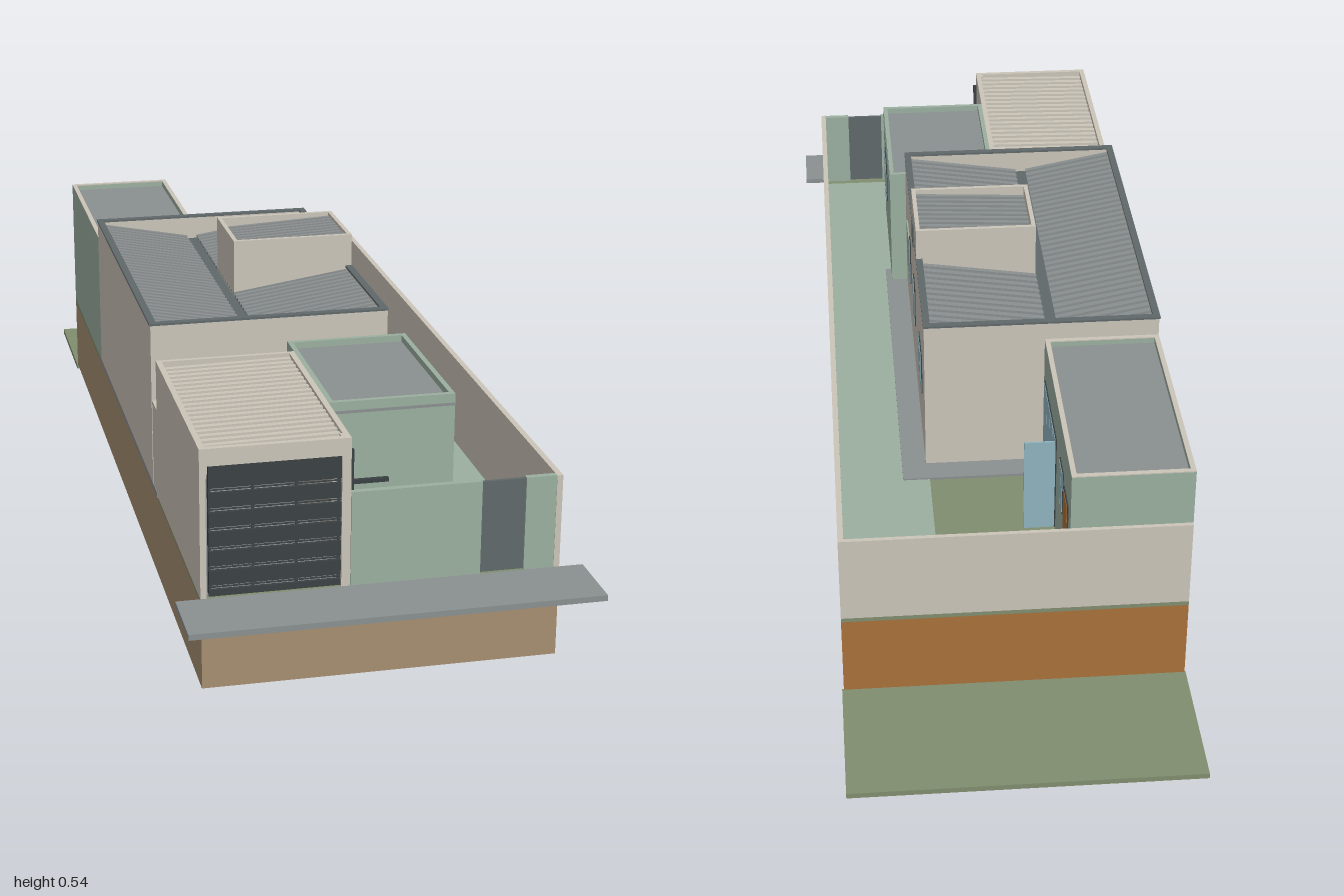
import * as THREE from 'three';

const mat = (name, color) => {
  const m = new THREE.MeshStandardMaterial({ color });
  m.name = name;
  return m;
};

export function createModel() {
  const M = {
    beige: mat('beige plaster', 0xcac4b8), brown: mat('brown earth', 0xa68e71),
    clay: mat('orange clay', 0xa8713a), lawn: mat('lawn green', 0x808d6f),
    green: mat('pale green', 0x9aaf9f), gray: mat('gray concrete', 0x8a8f90),
    slate: mat('slate metal', 0x5f686a), dark: mat('dark metal', 0x3a4042),
    glass: mat('window glass', 0x8fb3be),
  };
  const root = new THREE.Group();
  root.name = 'walledHouse';
  const group = (name) => {
    const g = new THREE.Group();
    g.name = name;
    root.add(g);
    return g;
  };
  // Box given by its limits on each axis
  const box = (g, name, m, x0, x1, y0, y1, z0, z1) => {
    const mesh = new THREE.Mesh(new THREE.BoxGeometry(x1 - x0, y1 - y0, z1 - z0), m);
    mesh.position.set((x0 + x1) / 2, (y0 + y1) / 2, (z0 + z1) / 2);
    mesh.name = name;
    g.add(mesh);
    return mesh;
  };
  // Four walls around a rectangle
  const ring = (g, name, m, x0, x1, y0, y1, z0, z1, t) => {
    box(g, name, m, x0, x0 + t, y0, y1, z0, z1);
    box(g, name, m, x1 - t, x1, y0, y1, z0, z1);
    box(g, name, m, x0 + t, x1 - t, y0, y1, z0, z0 + t);
    box(g, name, m, x0 + t, x1 - t, y0, y1, z1 - t, z1);
  };
  // Ribbed sheet sloping along x from ya to yb
  const ribbedRoof = (g, name, m, x0, x1, ya, yb, z0, z1, n) => {
    const sheet = new THREE.Group();
    sheet.name = name;
    const len = Math.hypot(x1 - x0, yb - ya), h = len / 2;
    sheet.position.set((x0 + x1) / 2, (ya + yb) / 2, 0);
    sheet.rotation.z = Math.atan2(yb - ya, x1 - x0);
    box(sheet, 'roofSheet', m, -h, h, -0.003, 0, z0, z1);
    const pitch = (z1 - z0) / n;
    for (let i = 0; i < n; i++) {
      const z = z0 + (i + 0.5) * pitch;
      box(sheet, 'roofRib', m, -h, h, 0, 0.005, z - pitch * 0.25, z + pitch * 0.25);
    }
    g.add(sheet);
  };
  // Framed window on a wall facing +x
  const sideWindow = (g, x, y0, y1, z0, z1, panes) => {
    box(g, 'windowFrame', M.dark, x, x + 0.002, y0, y1, z0, z1);
    const w = (z1 - z0) / panes, e = 0.003;
    for (let i = 0; i < panes; i++)
      box(g, 'windowPane', M.glass, x + 0.001, x + 0.003, y0 + e, y1 - e, z0 + i * w + e / 2, z0 + (i + 1) * w - e / 2);
  };

  // Site
  const site = group('site');
  box(site, 'rearLawn', M.lawn, -0.305, 0.305, 0, 0.01, -1, -0.738);
  const earth = box(site, 'earthBase', M.brown, -0.303, 0.302, 0.01, 0.162, -0.74, 0.878);
  earth.material = [M.brown, M.brown, M.brown, M.brown, M.brown, M.clay];
  box(site, 'gardenLawn', M.lawn, -0.303, 0.302, 0.162, 0.17, -0.74, 0.876);
  box(site, 'sidewalk', M.gray, -0.345, 0.343, 0.161, 0.171, 0.878, 1);
  box(site, 'sidePath', M.green, 0.125, 0.292, 0.17, 0.172, -0.72, 0.85);
  box(site, 'houseSlab', M.gray, -0.304, 0.175, 0.165, 0.175, -0.345, 0.44);
  box(site, 'garageFloor', M.gray, -0.303, -0.06, 0.168, 0.174, 0.44, 0.87);

  // Lot walls and street front
  const walls = group('lotWalls');
  box(walls, 'rightWall', M.beige, 0.292, 0.302, 0.17, 0.335, -0.74, 0.878);
  box(walls, 'backWall', M.beige, -0.303, 0.292, 0.17, 0.335, -0.74, -0.732);
  box(walls, 'courtWall', M.beige, -0.303, -0.295, 0.17, 0.335, 0.39, 0.452);
  box(walls, 'frontWallLeft', M.green, 0.24, 0.292, 0.17, 0.335, 0.866, 0.877);
  box(walls, 'frontWallRight', M.green, -0.055, 0.165, 0.17, 0.335, 0.866, 0.877);
  box(walls, 'streetDoor', M.slate, 0.165, 0.24, 0.172, 0.333, 0.868, 0.874);

  // Main house with a valley roof behind a parapet
  const house = group('mainHouse');
  box(house, 'houseBody', M.beige, -0.304, 0.13, 0.175, 0.425, -0.297, 0.395);
  ring(house, 'houseParapet', M.beige, -0.304, 0.13, 0.425, 0.476, -0.297, 0.395, 0.01);
  ring(house, 'parapetCap', M.slate, -0.306, 0.131, 0.476, 0.48, -0.299, 0.397, 0.013);
  ribbedRoof(house, 'rightRoof', M.gray, -0.294, -0.122, 0.468, 0.435, -0.287, 0.385, 34);
  ribbedRoof(house, 'leftRoof', M.gray, -0.1, 0.12, 0.435, 0.468, -0.287, 0.385, 34);
  box(house, 'valleyGutter', M.slate, -0.123, -0.099, 0.425, 0.432, -0.287, 0.385);
  sideWindow(house, 0.13, 0.285, 0.378, 0.185, 0.222, 1);
  box(house, 'windowShutter', M.green, 0.13, 0.133, 0.285, 0.368, 0.222, 0.305);
  sideWindow(house, 0.13, 0.285, 0.378, 0.02, 0.07, 2);
  sideWindow(house, 0.13, 0.28, 0.363, -0.215, -0.125, 3);

  // Water tank tower
  const tower = group('roofTower');
  box(tower, 'towerBody', M.beige, -0.1, 0.13, 0.42, 0.515, -0.05, 0.122);
  ring(tower, 'towerParapet', M.beige, -0.1, 0.13, 0.515, 0.541, -0.05, 0.122, 0.008);
  ribbedRoof(tower, 'towerRoof', M.gray, -0.092, 0.122, 0.519, 0.53, -0.042, 0.114, 9);
  box(tower, 'towerVent', M.slate, 0.13, 0.133, 0.464, 0.511, 0.02, 0.068);

  // Flat-roofed green wings
  const wing = (name, x0, x1, top, z0, z1, cap) => {
    const g = group(name);
    box(g, 'wingBody', M.green, x0, x1, 0.172, top - 0.015, z0, z1);
    ring(g, 'wingParapet', M.green, x0, x1, top - 0.015, top - 0.002, z0, z1, 0.009);
    ring(g, 'wingCap', cap, x0, x1, top - 0.002, top, z0, z1, 0.009);
    box(g, 'wingRoof', M.gray, x0 + 0.009, x1 - 0.009, top - 0.015, top - 0.012, z0 + 0.009, z1 - 0.009);
    return g;
  };
  const frontWing = wing('frontWing', -0.056, 0.163, 0.43, 0.395, 0.717, M.green);
  box(frontWing, 'frontBand', M.gray, -0.056, 0.164, 0.409, 0.414, 0.717, 0.718);
  box(frontWing, 'sideBand', M.gray, 0.163, 0.164, 0.409, 0.414, 0.395, 0.718);
  sideWindow(frontWing, 0.163, 0.275, 0.363, 0.565, 0.655, 3);

  const backWing = wing('backWing', -0.304, -0.093, 0.442, -0.732, -0.297, M.beige);
  sideWindow(backWing, -0.093, 0.175, 0.367, -0.515, -0.32, 4);
  sideWindow(backWing, -0.093, 0.285, 0.372, -0.625, -0.575, 2);
  box(backWing, 'backDoorFrame', M.dark, -0.093, -0.091, 0.172, 0.357, -0.7, -0.64);
  box(backWing, 'backDoor', M.clay, -0.092, -0.09, 0.172, 0.353, -0.696, -0.644);
  // Open glass door leaf
  box(backWing, 'openDoorLeaf', M.glass, -0.09, -0.035, 0.175, 0.362, -0.514, -0.51);

  // Carport with a slatted gate
  const carport = group('carport');
  box(carport, 'outerWall', M.beige, -0.304, -0.294, 0.17, 0.43, 0.45, 0.878);
  box(carport, 'rearBeam', M.beige, -0.294, -0.056, 0.4, 0.43, 0.45, 0.458);
  box(carport, 'innerBeam', M.beige, -0.066, -0.056, 0.345, 0.43, 0.45, 0.878);
  box(carport, 'innerWall', M.beige, -0.066, -0.056, 0.17, 0.345, 0.45, 0.78);
  box(carport, 'frontPier', M.beige, -0.071, -0.056, 0.17, 0.43, 0.855, 0.878);
  box(carport, 'innerLowWall', M.beige, -0.066, -0.056, 0.17, 0.27, 0.78, 0.855);
  box(carport, 'frontLintel', M.beige, -0.294, -0.071, 0.4, 0.43, 0.868, 0.878);
  ribbedRoof(carport, 'carportRoof', M.beige, -0.294, -0.066, 0.416, 0.42, 0.458, 0.868, 20);
  box(carport, 'gatePanel', M.dark, -0.289, -0.071, 0.363, 0.4, 0.868, 0.874);
  for (let i = 0; i < 6; i++) {
    const y = 0.191 + i * 0.0338;
    box(carport, 'gateSlat', M.dark, -0.289, -0.071, y, y + 0.0258, 0.868, 0.874);
    box(carport, 'gateRod', M.dark, -0.289, -0.071, y - 0.005, y - 0.0035, 0.868, 0.872);
  }
  box(carport, 'gateBottom', M.dark, -0.289, -0.071, 0.172, 0.183, 0.868, 0.874);
  for (const x of [-0.289, -0.217, -0.145, -0.075])
    box(carport, 'gatePost', M.dark, x, x + 0.004, 0.172, 0.38, 0.862, 0.868);

  // Dark bracket beside the carport and beam over the small court
  const details = group('metalDetails');
  box(details, 'bracketPost', M.dark, -0.056, -0.049, 0.335, 0.405, 0.86, 0.867);
  box(details, 'bracketRail', M.dark, -0.056, 0.015, 0.335, 0.342, 0.838, 0.845);
  box(details, 'bracketArm', M.dark, -0.056, -0.049, 0.335, 0.342, 0.838, 0.867);
  box(details, 'courtBeam', M.dark, -0.23, -0.066, 0.36, 0.37, 0.427, 0.436);
  box(details, 'courtPlanter', M.lawn, -0.29, -0.255, 0.175, 0.19, 0.405, 0.425);

  return root;
}
